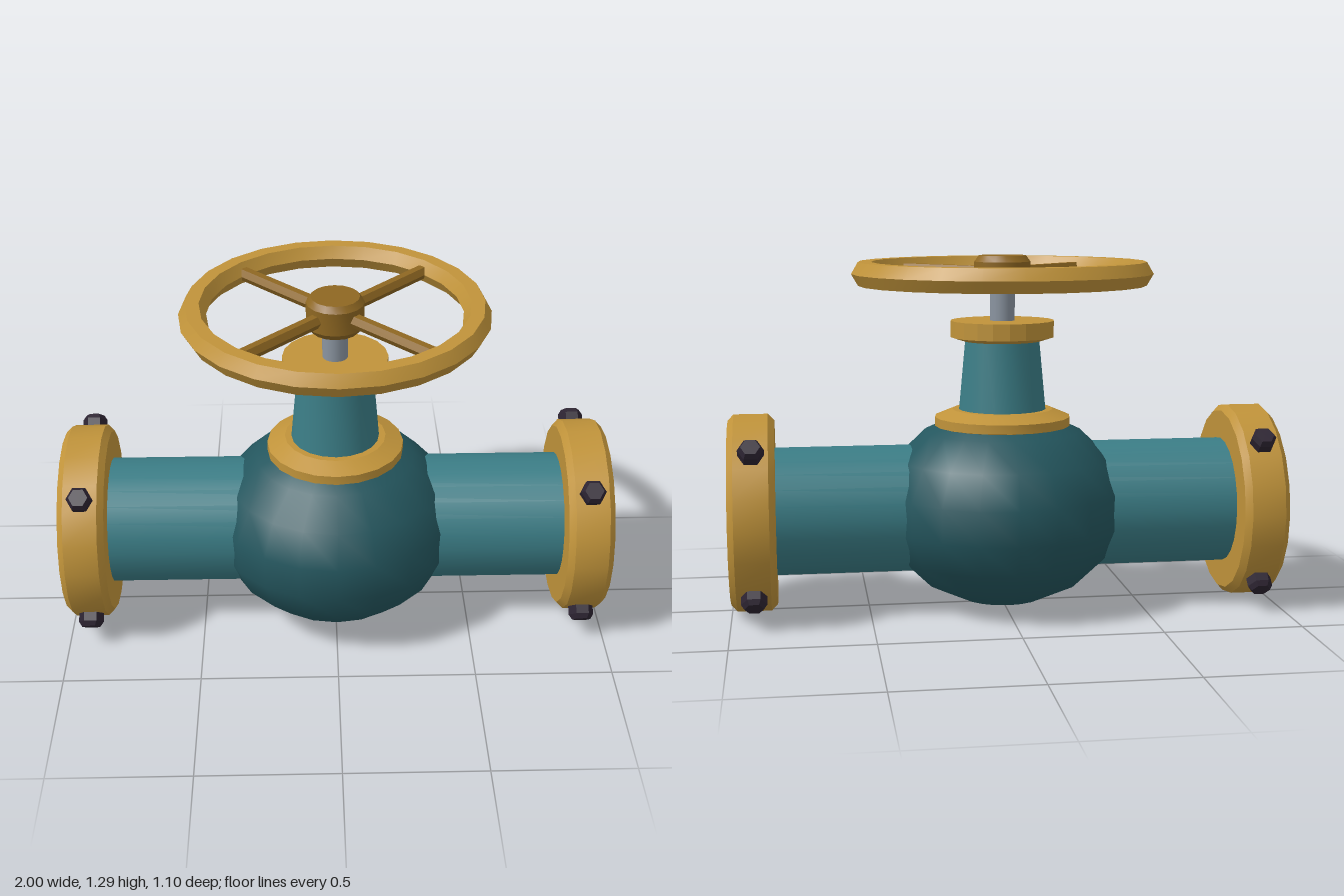
import * as THREE from 'three';
import { toCreasedNormals } from 'three/addons/utils/BufferGeometryUtils.js';

const material = (name, color) => {
  const m = new THREE.MeshStandardMaterial({ color });
  m.name = name;
  return m;
};

export function createModel() {
  const brass = material('brass', 0xc0933a);
  const darkBrass = material('dark brass', 0x8e6722);
  const teal = material('teal', 0x3b7d86);
  const deepTeal = material('deep teal', 0x24565e);
  const steel = material('steel', 0x8a94a0);
  const iron = material('dark iron', 0x2c2331);

  const valve = new THREE.Group();
  valve.name = 'gateValve';
  const AXIS = 0.372; // height of the pipe axis
  const WHEEL = 1.232; // height of the handwheel

  function add(parent, name, geometry, mat) {
    const mesh = new THREE.Mesh(geometry, mat);
    mesh.name = name;
    parent.add(mesh);
    return mesh;
  }

  // Turned part from [radius, height] pairs, listed bottom to top
  function turned(profile, sides, crease = 0.5) {
    const points = profile.map(([r, y]) => new THREE.Vector2(r, y));
    return toCreasedNormals(new THREE.LatheGeometry(points, sides), crease);
  }

  // Squashed round body
  const body = add(valve, 'body', new THREE.SphereGeometry(0.452, 20, 9), deepTeal);
  body.scale.y = 0.367 / 0.452;
  body.position.y = AXIS;

  // Pipe running through the body
  const pipe = add(valve, 'pipe', new THREE.CylinderGeometry(0.233, 0.233, 1.8, 24), teal);
  pipe.rotation.z = -Math.PI / 2;
  pipe.position.y = AXIS;

  // End flanges with four radial bolts each
  const flangeShape = turned(
    [[0, 0.834], [0.337, 0.834], [0.36, 0.856], [0.36, 0.978], [0.337, 1], [0, 1]], 20);
  const boltShape = turned(
    [[0.046, 0.33], [0.046, 0.388], [0.034, 0.406], [0, 0.406]], 6, 0.3);
  for (const side of [-1, 1]) {
    const end = new THREE.Group();
    end.name = side > 0 ? 'leftEnd' : 'rightEnd';
    end.position.y = AXIS;
    valve.add(end);
    add(end, 'flange', flangeShape, brass).rotation.z = -side * Math.PI / 2;
    for (let i = 0; i < 4; i++) {
      const arm = new THREE.Group();
      arm.name = 'boltArm';
      arm.position.x = side * 0.915;
      arm.rotation.x = Math.PI / 4 + i * Math.PI / 2;
      end.add(arm);
      add(arm, 'bolt', boltShape, iron).rotation.y = Math.PI / 2;
    }
  }

  // Bonnet: lower collar, tapered neck, gland and stem
  add(valve, 'bonnetCollar', turned(
    [[0, 0.64], [0.235, 0.67], [0.25, 0.675], [0.25, 0.708], [0.185, 0.735], [0, 0.735]], 20, 0.35), brass);
  add(valve, 'bonnetNeck', turned([[0.162, 0.72], [0.136, 1]], 20), teal);
  add(valve, 'gland', turned(
    [[0, 0.986], [0.145, 0.986], [0.19, 1], [0.19, 1.06], [0, 1.06]], 20, 0.3), brass);
  add(valve, 'stem', new THREE.CylinderGeometry(0.046, 0.046, 0.2, 16), steel).position.y = 1.14;

  // Handwheel: six-sided rim, hub and four spokes
  const wheel = new THREE.Group();
  wheel.name = 'handwheel';
  wheel.position.y = WHEEL;
  valve.add(wheel);
  const rim = add(wheel, 'rim',
    toCreasedNormals(new THREE.TorusGeometry(0.5, 0.049, 6, 24), 0.5), brass);
  rim.rotation.x = Math.PI / 2;
  add(wheel, 'hub', turned(
    [[0, -0.064], [0.087, -0.064], [0.103, -0.042], [0.103, 0.042], [0.087, 0.064], [0, 0.064]], 16, 0.4), darkBrass);
  for (let i = 0; i < 4; i++) {
    const spoke = new THREE.Group();
    spoke.name = 'spoke';
    spoke.rotation.y = Math.PI / 4 + i * Math.PI / 2;
    wheel.add(spoke);
    const rod = add(spoke, 'spokeRod',
      toCreasedNormals(new THREE.CylinderGeometry(0.026, 0.026, 0.42, 6), 0.5), darkBrass);
    rod.rotation.z = Math.PI / 2;
    rod.position.x = 0.26;
  }

  return valve;
}
